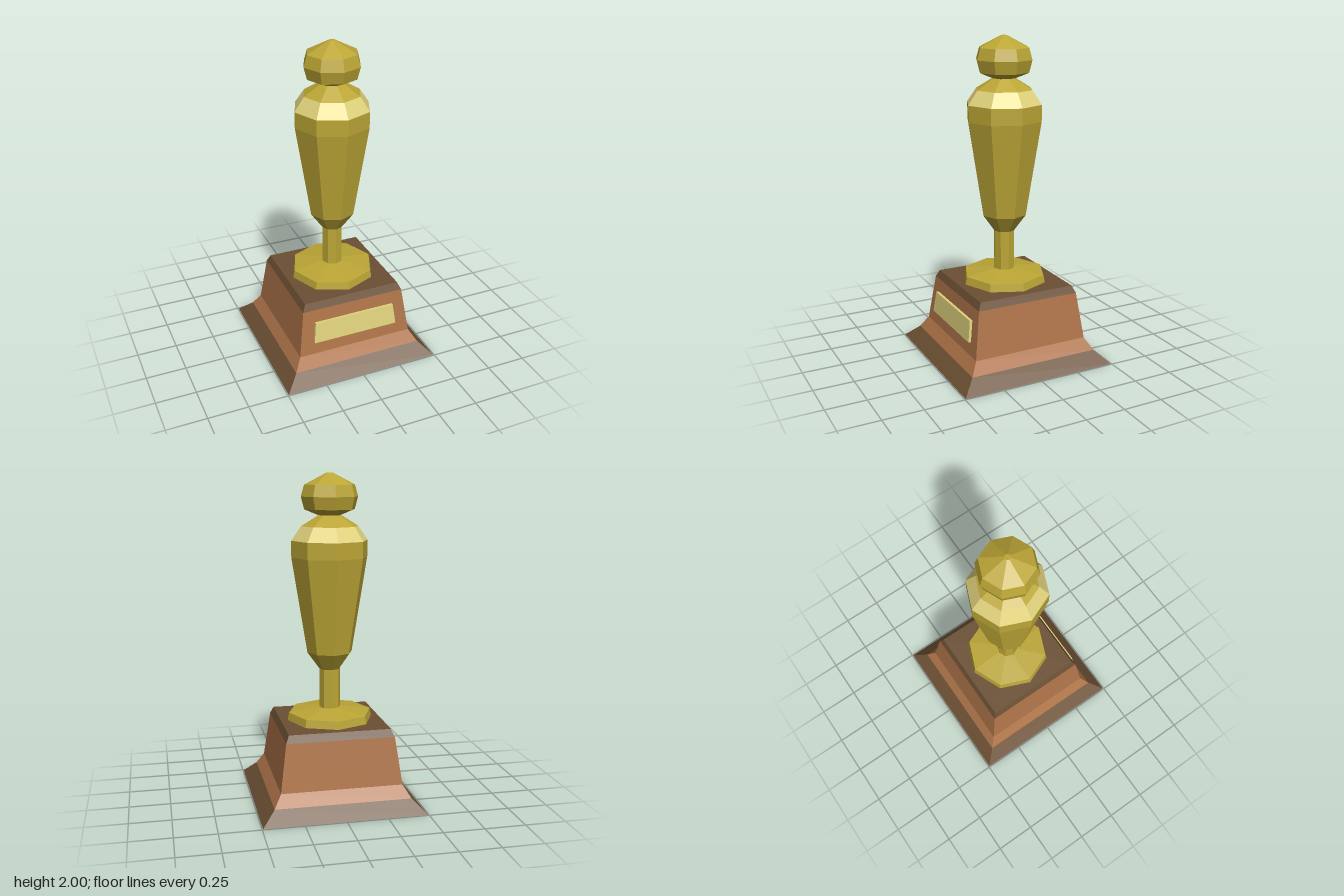
import * as THREE from 'three';

const mat = (color) => new THREE.MeshStandardMaterial({ color, flatShading: true });

// Faceted solid of revolution; profile is [radius, y] from bottom to top
function turned(name, profile, sides, material, phiStart = 0) {
  const points = profile.map(([r, y]) => new THREE.Vector2(r, y));
  const mesh = new THREE.Mesh(new THREE.LatheGeometry(points, sides, phiStart), material);
  mesh.name = name;
  return mesh;
}

// Square section; profile is [halfWidth, y]
const square = (name, profile, material) =>
  turned(name, profile.map(([w, y]) => [w * Math.SQRT2, y]), 4, material, Math.PI / 4);

export function createModel() {
  const wood = mat(0xb0754a);
  const darkWood = mat(0x6b4f33);
  const gold = mat(0xbca636);
  const paleGold = mat(0xe0d27c);

  // Wooden plinth: dark skirt, lighter body, dark top
  const plinth = new THREE.Group();
  plinth.name = 'plinth';
  plinth.add(
    square('plinthSkirt', [[0, 0], [0.495, 0], [0.415, 0.08]], darkWood),
    square('plinthBody', [[0.415, 0.08], [0.37, 0.155], [0.33, 0.445]], wood),
    square('plinthTop', [[0.33, 0.445], [0.31, 0.49], [0, 0.49]], darkWood),
  );

  // Plaque: thin box flared towards its foot and leaning with the plinth's front
  const plaqueGeo = new THREE.BoxGeometry(1, 0.13, 0.018);
  const p = plaqueGeo.attributes.position;
  for (let i = 0; i < p.count; i++) {
    const up = p.getY(i) / 0.13 + 0.5;
    p.setX(i, p.getX(i) * (0.55 - 0.03 * up));
    p.setZ(i, p.getZ(i) + 0.366 - 0.017 * up);
  }
  plaqueGeo.computeVertexNormals();
  const plaque = new THREE.Mesh(plaqueGeo, paleGold);
  plaque.position.y = 0.3;
  plaque.name = 'plaque';

  // Eight-sided golden cup with lid
  const cup = new THREE.Group();
  cup.name = 'cup';
  cup.add(
    turned('foot', [[0, 0.49], [0.267, 0.49], [0.258, 0.538], [0.065, 0.565]], 8, gold),
    turned('stem', [[0.065, 0.565], [0.065, 0.81]], 8, gold),
    turned('bowl', [[0.065, 0.81], [0.14, 0.915], [0.235, 1.5], [0.235, 1.6]], 8, gold),
    turned('shoulder', [[0.235, 1.6], [0.176, 1.685]], 8, paleGold),
    turned('neck', [[0.176, 1.685], [0.07, 1.75]], 8, gold),
    turned('knob', [[0.07, 1.75], [0.155, 1.785], [0.175, 1.86], [0.155, 1.93],
      [0.018, 2], [0, 2]], 8, gold),
  );

  const model = new THREE.Group();
  model.name = 'trophy';
  model.add(plinth, plaque, cup);
  return model;
}
